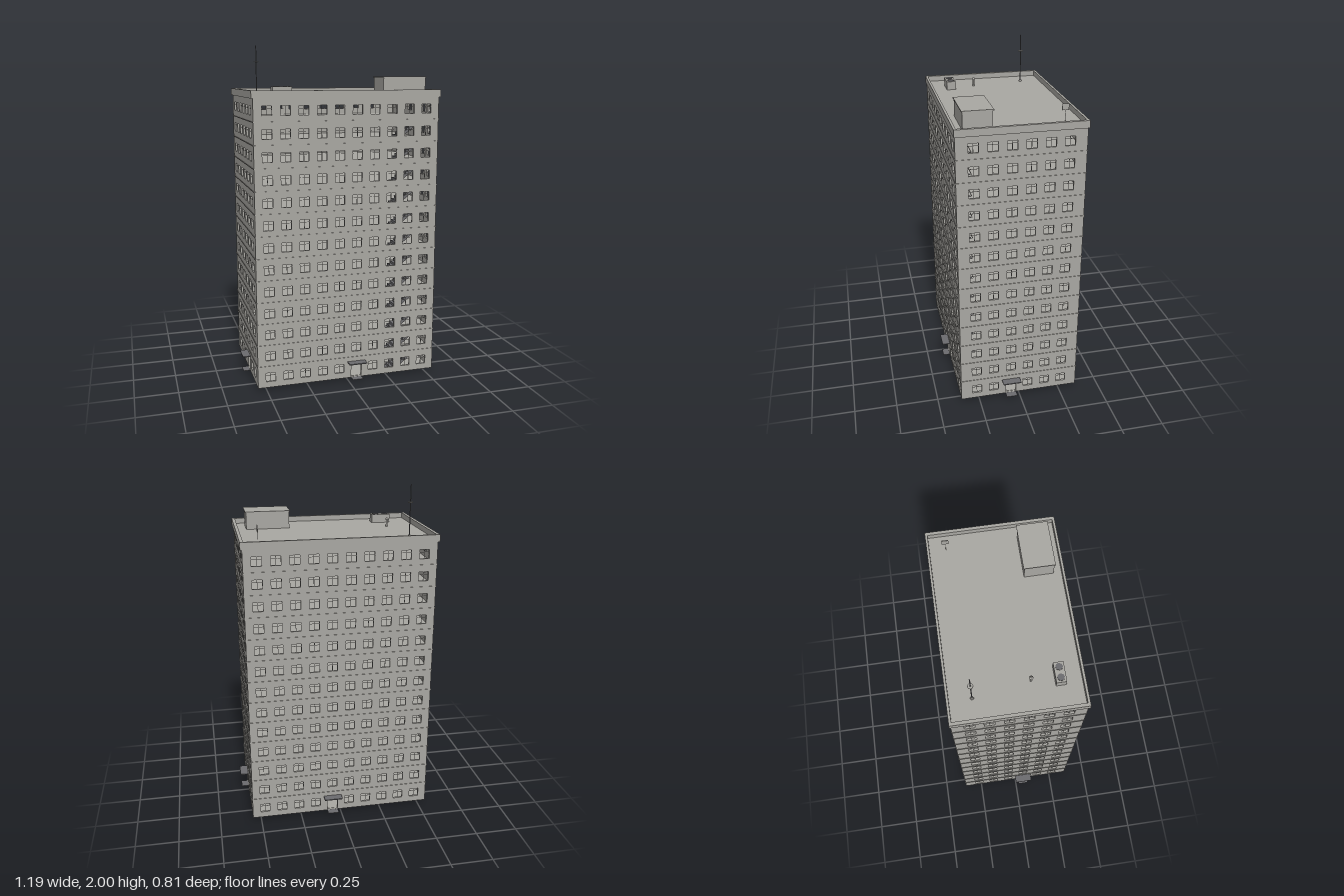
import * as THREE from 'three';
import { mergeGeometries } from 'three/addons/utils/BufferGeometryUtils.js';

const W = 1.1, D = 0.72, T = 0.012;          // body width, depth, wall thickness
const Y0 = 0.015, STOREY = 0.1292, FLOORS = 13, ROOF = 1.705, TOP = 1.737;
const PITCH = 0.1053, WIN_W = 0.057, WIN_H = 0.053, SILL = 0.036;

export function createModel() {
  const model = new THREE.Group();
  const concrete = new THREE.MeshStandardMaterial({ color: 0xa9a7a2 });
  concrete.name = 'concrete';
  const darkMetal = new THREE.MeshStandardMaterial({ color: 0x6b6b6e });
  darkMetal.name = 'darkMetal';

  const add = (name, geo, mat, x = 0, y = 0, z = 0, parent = model) => {
    const m = new THREE.Mesh(geo, mat);
    m.name = name;
    m.position.set(x, y, z);
    parent.add(m);
    return m;
  };
  const box = (name, w, h, d, x, y, z, mat = concrete, parent = model) =>
    add(name, new THREE.BoxGeometry(w, h, d), mat, x, y, z, parent);
  const cyl = (name, r1, r2, h, x, y, z, mat = concrete, n = 12) =>
    add(name, new THREE.CylinderGeometry(r1, r2, h, n), mat, x, y, z);

  const trace = (path, x0, y0, x1, y1) => {
    path.moveTo(x0, y0);
    path.lineTo(x1, y0);
    path.lineTo(x1, y1);
    path.lineTo(x0, y1);
    path.closePath();
    return path;
  };
  // Horizontal plate with one rectangular opening, given as [x0, z0, x1, z1]
  const plate = (name, w, d, hole, h, y) => {
    const s = trace(new THREE.Shape(), -w / 2, -d / 2, w / 2, d / 2);
    s.holes.push(trace(new THREE.Path(), hole[0], -hole[3], hole[2], -hole[1]));
    const g = new THREE.ExtrudeGeometry(s, { depth: h, bevelEnabled: false });
    return add(name, g.rotateX(-Math.PI / 2), concrete, 0, y, 0);
  };

  // One side of the tower: pierced wall, window bars, canopy and doorstep
  function facade(name, width, cols, doorCol, dist, angle) {
    const g = new THREE.Group();
    g.name = name;
    g.rotation.y = angle;
    model.add(g);
    const wall = trace(new THREE.Shape(), -width / 2, Y0, width / 2, ROOF);
    const bars = [];
    const bar = (w, h, x, y) =>
      bars.push(new THREE.BoxGeometry(w, h, 0.003).translate(x, y, dist - T * 0.6));
    for (let r = 0; r < FLOORS; r++) {
      for (let c = 0; c < cols; c++) {
        const x = (c - (cols - 1) / 2) * PITCH;
        if (r === 0 && c === doorCol) {
          wall.holes.push(trace(new THREE.Path(), x - 0.032, Y0 + 0.002, x + 0.032, 0.105));
          continue;
        }
        const y = Y0 + r * STOREY + SILL;
        wall.holes.push(trace(new THREE.Path(), x - WIN_W / 2, y, x + WIN_W / 2, y + WIN_H));
        bar(WIN_W, 0.002, x, y + WIN_H * 0.7);
        bar(0.0025, WIN_H, x, y + WIN_H / 2);
      }
    }
    const geo = new THREE.ExtrudeGeometry(wall, { depth: T, bevelEnabled: false });
    add('wall', geo, concrete, 0, 0, dist - T, g);
    add('windowBars', mergeGeometries(bars), concrete, 0, 0, 0, g);
    const dx = (doorCol - (cols - 1) / 2) * PITCH;
    box('canopy', 0.11, 0.006, 0.05, dx, 0.115, dist + 0.022, darkMetal, g);
    box('doorstep', 0.066, 0.003, 0.042, dx, Y0, dist + 0.02, darkMetal, g);
  }
  facade('frontFacade', W, 10, 5, D / 2, 0);
  facade('backFacade', W, 10, 4, D / 2, Math.PI);
  facade('rightFacade', D - 2 * T, 6, 2, W / 2, Math.PI / 2);
  facade('leftFacade', D - 2 * T, 6, 3, W / 2, -Math.PI / 2);

  // Floors with stairwell openings, and thin ledges around each storey
  const iw = W / 2 - T, id = D / 2 - T;
  box('groundFloor', 2 * iw, 0.004, 2 * id, 0, Y0 + 0.002, 0);
  for (let k = 1; k < FLOORS; k++) {
    const y = Y0 + k * STOREY;
    plate('floor', 2 * iw, 2 * id, [0.27, 0.255, 0.44, 0.345], 0.006, y - 0.003);
    plate('ledge', W + 0.006, D + 0.006, [-iw, -id, iw, id], 0.005, y - 0.0025);
  }

  // Stair flights: stepped on top, sloping underneath
  const STEPS = 9, RUN = 0.17;
  const flight = new THREE.Shape();
  flight.moveTo(0, 0);
  for (let i = 0; i < STEPS; i++) {
    flight.lineTo((i / STEPS) * RUN, ((i + 1) / STEPS) * STOREY);
    flight.lineTo(((i + 1) / STEPS) * RUN, ((i + 1) / STEPS) * STOREY);
  }
  flight.lineTo(RUN, STOREY - 0.015);
  flight.lineTo(0.012, -0.012);
  flight.closePath();
  const flightGeo = new THREE.ExtrudeGeometry(flight, { depth: 0.085, bevelEnabled: false });
  for (let k = 0; k < FLOORS - 1; k++)
    add('stairFlight', flightGeo, darkMetal, 0.262, 0.012 + k * STOREY, 0.26);

  // Roof and parapet
  box('roof', 2 * iw, 0.01, 2 * id, 0, ROOF - 0.005, 0);
  plate('parapet', 1.12, 0.73, [-0.541, -0.351, 0.541, 0.351], TOP - 1.695, 1.695);

  // Lift house
  box('liftHouse', 0.26, 0.1, 0.164, 0.355, ROOF + 0.05, 0.225);
  box('liftHouseRoof', 0.27, 0.006, 0.174, 0.355, 1.808, 0.225);

  // Antenna mast
  cyl('mast', 0.003, 0.003, 2 - ROOF, -0.42, (2 + ROOF) / 2, -0.23, darkMetal, 8);
  cyl('mastDisc', 0.015, 0.015, 0.004, -0.42, 1.9, -0.23);
  cyl('mastFoot', 0.008, 0.01, 0.008, -0.42, ROOF + 0.004, -0.23);

  // Vent pipe with cap
  cyl('ventPipe', 0.006, 0.006, 0.045, -0.37, ROOF + 0.0225, 0.085);
  cyl('ventCap', 0.004, 0.012, 0.009, -0.37, 1.753, 0.085);

  // Cooling unit with two fans
  box('coolingUnit', 0.113, 0.05, 0.055, -0.363, ROOF + 0.026, 0.236);
  for (const x of [-0.392, -0.334])
    cyl('fan', 0.02, 0.02, 0.004, x, 1.757, 0.236, darkMetal, 8);

  // Small aerial panel
  box('aerialPanel', 0.004, 0.036, 0.038, 0.455, 1.788, -0.259);
  box('aerialPost', 0.002, 0.07, 0.002, 0.455, ROOF + 0.033, -0.259);

  return model;
}
